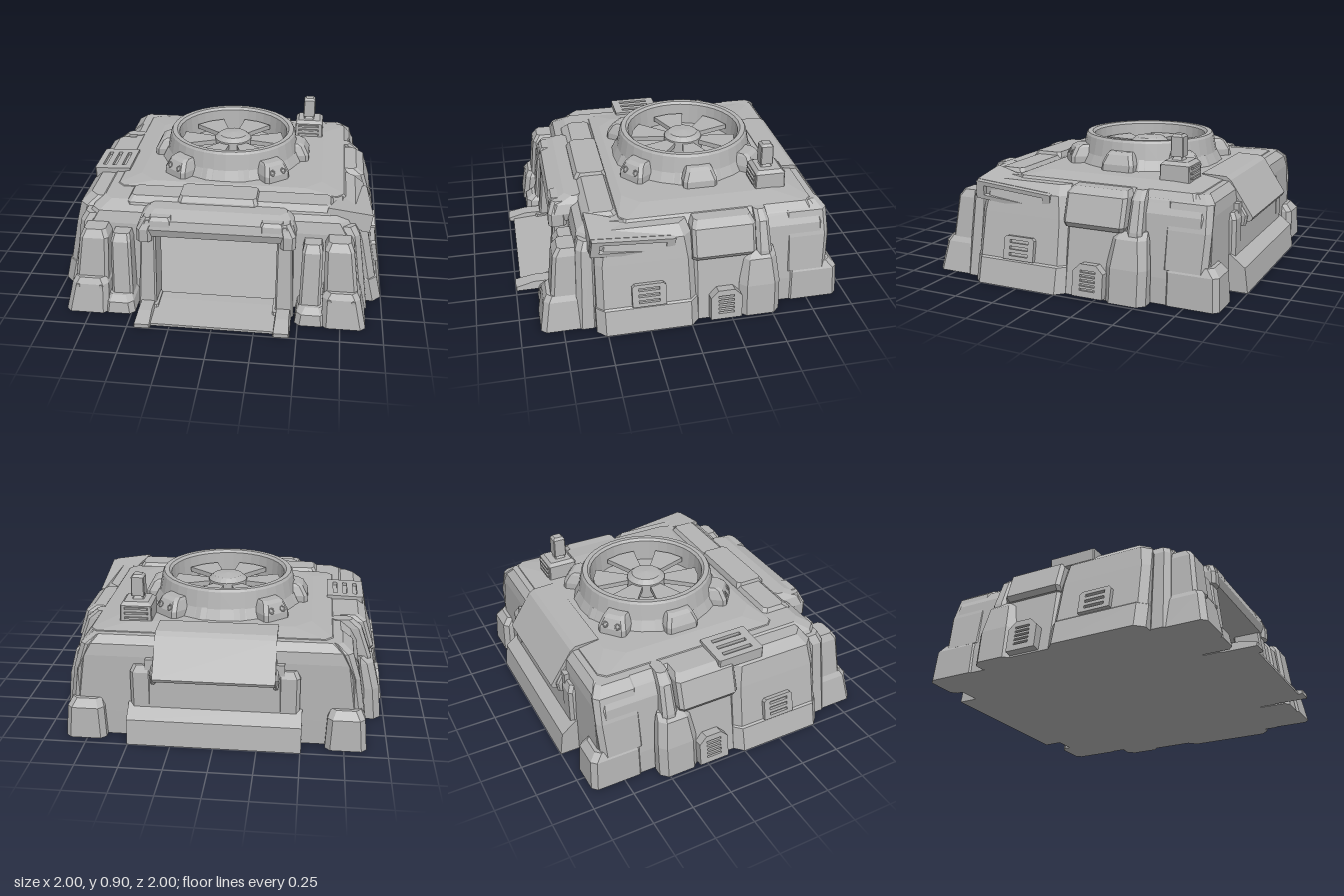
import * as THREE from 'three';

export function createModel() {
  const model = new THREE.Group();
  model.name = 'bunker';
  // Double sided because the hull is an open shell seen through the gate
  const grey = new THREE.MeshStandardMaterial({ color: 0xb4b4b4, flatShading: true, side: THREE.DoubleSide });
  grey.name = 'armour grey';

  const add = (name, geo, parent = model) => {
    const m = new THREE.Mesh(geo, grey);
    m.name = name;
    parent.add(m);
    return m;
  };

  // Lofted block: rings of [y, x0, x1, z0, z1, corner chamfer], bottom to top;
  // the front face is left out below ring number openRings
  function block(name, rings, parent = model, side = 1, openRings = 0) {
    const loops = rings.map(([y, a, b, z0, z1, c = 0.02]) => {
      const [x0, x1] = side > 0 ? [a, b] : [-b, -a];
      return [[x1, z1 - c], [x1, z0 + c], [x1 - c, z0], [x0 + c, z0],
        [x0, z0 + c], [x0, z1 - c], [x0 + c, z1], [x1 - c, z1]].map(([x, z]) => [x, y, z]);
    });
    const pos = [];
    const tri = (...p) => p.forEach((v) => pos.push(...v));
    for (let r = 0; r + 1 < loops.length; r++) {
      const lo = loops[r], hi = loops[r + 1];
      for (let i = 0; i < 8; i++) {
        if (i === 6 && r < openRings) continue;
        const j = (i + 1) % 8;
        tri(lo[i], lo[j], hi[j]);
        tri(lo[i], hi[j], hi[i]);
      }
    }
    const bot = loops[0], top = loops[loops.length - 1];
    for (let i = 1; i < 7; i++) {
      tri(top[0], top[i], top[i + 1]);
      tri(bot[0], bot[i + 1], bot[i]);
    }
    const g = new THREE.BufferGeometry();
    g.setAttribute('position', new THREE.Float32BufferAttribute(pos, 3));
    g.computeVertexNormals();
    return add(name, g, parent);
  }
  const pair = (name, rings) => [1, -1].forEach((s) => block(name, rings, model, s));
  const shapeOf = (pts) => new THREE.Shape(pts.map((p) => new THREE.Vector2(...p)));
  const extrude = (shape, depth) => new THREE.ExtrudeGeometry(shape, { depth, bevelEnabled: false });

  // Profile of [z, y] points extruded across x
  const prism = (name, pts, x0, x1) =>
    add(name, extrude(shapeOf(pts), x1 - x0).rotateY(-Math.PI / 2).translate(x1, 0, 0));

  // Slotted plate facing +z: chamfered outline, horizontal slots, closed back
  function grille(name, w, h, slots, depth, chamfer = 0.015, slotH = 0.018, fill = 0.62) {
    const grp = new THREE.Group();
    grp.name = name;
    const a = w / 2, b = h / 2, c = chamfer;
    const outline = [[-a, -b], [a, -b], [a, b - c], [a - c, b], [-a + c, b], [-a, b - c]];
    const front = shapeOf(outline);
    for (let i = 0; i < slots; i++) {
      const y = (i / (slots - 1) - 0.5) * h * 0.55, hw = w * fill / 2, hh = slotH / 2;
      front.holes.push(shapeOf([[-hw, y - hh], [-hw, y + hh], [hw, y + hh], [hw, y - hh]]));
    }
    add('slotted face', extrude(front, 0.02), grp);
    add('backing', extrude(shapeOf(outline), depth).translate(0, 0, -depth), grp);
    model.add(grp);
    return grp;
  }

  // Hollow hull with an open front, closed beside the gate, and roof
  block('hull', [
    [0, -0.87, 0.87, -0.88, 0.68, 0.05], [0.15, -0.86, 0.86, -0.88, 0.675, 0.05],
    [0.5, -0.81, 0.81, -0.87, 0.65, 0.05], [0.57, -0.77, 0.77, -0.86, 0.63, 0.05],
    [0.615, -0.71, 0.73, -0.82, 0.55, 0.05]], model, 1, 2);
  pair('frontWall', [[0, 0.4, 0.83, 0.58, 0.68, 0.01], [0.5, 0.4, 0.77, 0.55, 0.65, 0.01]]);
  block('roofPlate', [[0.58, -0.7, 0.77, -0.8, 0.4, 0.04], [0.62, -0.66, 0.74, -0.78, 0.38, 0.04],
    [0.64, -0.54, 0.6, -0.66, 0.33, 0.1]]);
  block('frontRoofStep', [[0.5, -0.57, 0.69, 0.36, 0.62], [0.61, -0.56, 0.68, 0.38, 0.58], [0.64, -0.54, 0.66, 0.4, 0.54]]);
  block('frontRoofPanel', [[0.5, -0.25, 0.23, 0.38, 0.6], [0.63, -0.25, 0.23, 0.38, 0.58], [0.66, -0.24, 0.22, 0.39, 0.56]]);

  // Gateway: lintel, jambs and ramp
  block('gateLintel', [[0.48, -0.46, 0.46, 0.52, 0.75, 0.03], [0.53, -0.47, 0.47, 0.52, 0.765, 0.03],
    [0.585, -0.45, 0.45, 0.53, 0.75, 0.04], [0.62, -0.41, 0.41, 0.55, 0.66, 0.04]]);
  pair('gateJamb', [[0, 0.36, 0.47, 0.6, 0.79, 0.01], [0.49, 0.36, 0.45, 0.56, 0.74, 0.01]]);
  pair('jambFoot', [[0, 0.345, 0.44, 0.65, 0.83, 0.01], [0.04, 0.345, 0.44, 0.65, 0.81, 0.01]]);
  pair('gateShoulder', [[0.45, 0.38, 0.47, 0.66, 0.77], [0.53, 0.38, 0.47, 0.66, 0.77], [0.6, 0.36, 0.43, 0.66, 0.74]]);
  pair('lintelLamp', [[0.55, 0.26, 0.4, 0.68, 0.76, 0.012], [0.585, 0.26, 0.4, 0.68, 0.755, 0.012], [0.605, 0.27, 0.39, 0.69, 0.74, 0.012]]);
  prism('ramp', [[0.65, 0], [0.97, 0], [0.97, 0.015], [0.72, 0.03], [0.65, 0.03]], -0.37, 0.37);
  pair('rampRail', [[0, 0.36, 0.46, 0.7, 1, 0.005], [0.025, 0.365, 0.455, 0.7, 1, 0.005], [0.05, 0.37, 0.45, 0.7, 0.89, 0.005]]);

  // Front buttresses
  pair('frontOuterFoot', [[0, 0.64, 0.9, 0.62, 0.88, 0.03], [0.18, 0.64, 0.86, 0.62, 0.85, 0.03], [0.215, 0.66, 0.84, 0.62, 0.83, 0.03]]);
  pair('frontOuterColumn', [[0, 0.65, 0.87, 0.62, 0.83, 0.02], [0.46, 0.64, 0.81, 0.6, 0.78, 0.02], [0.505, 0.66, 0.79, 0.6, 0.75, 0.02]]);
  pair('frontInnerFoot', [[0, 0.48, 0.67, 0.62, 0.87, 0.03], [0.07, 0.49, 0.66, 0.62, 0.86, 0.03], [0.1, 0.51, 0.65, 0.62, 0.82, 0.03]]);
  pair('frontInnerColumn', [[0, 0.5, 0.63, 0.6, 0.81, 0.015], [0.43, 0.51, 0.63, 0.58, 0.76, 0.015], [0.475, 0.52, 0.62, 0.57, 0.73, 0.015]]);
  pair('cornerStrip', [[0, 0.78, 0.91, 0.54, 0.67, 0.03], [0.5, 0.74, 0.84, 0.53, 0.65, 0.03], [0.55, 0.7, 0.81, 0.5, 0.63, 0.03]]);
  for (const s of [1, -1]) for (const x of [0.68, 0.82]) {
    const bolt = add('footBolt', new THREE.CylinderGeometry(0.012, 0.012, 0.02, 8).rotateX(Math.PI / 2));
    bolt.position.set(s * x, 0.17, 0.848);
  }

  // Side armour
  pair('frontSideSkirt', [[0, 0.84, 1, -0.05, 0.56, 0.05], [0.15, 0.84, 0.965, -0.05, 0.56, 0.05], [0.17, 0.84, 0.94, -0.04, 0.55, 0.05]]);
  pair('frontSideSlab', [[0.1, 0.84, 0.965, -0.04, 0.555, 0.04], [0.42, 0.8, 0.9, -0.03, 0.55, 0.04],
    [0.55, 0.72, 0.87, -0.02, 0.54, 0.05], [0.605, 0.66, 0.81, 0, 0.5, 0.05]]);
  pair('middleSlab', [[0, 0.84, 0.95, -0.4, -0.03], [0.42, 0.8, 0.88, -0.4, -0.03]]);
  pair('upperSidePanel', [[0.39, 0.8, 0.9, -0.39, -0.02], [0.42, 0.8, 0.92, -0.4, -0.02],
    [0.58, 0.68, 0.87, -0.4, -0.02], [0.615, 0.66, 0.82, -0.38, -0.04]]);
  pair('rearSideSlab', [[0, 0.84, 0.98, -0.55, -0.3, 0.04], [0.2, 0.83, 0.96, -0.55, -0.3, 0.04],
    [0.36, 0.8, 0.92, -0.53, -0.32, 0.04], [0.4, 0.8, 0.88, -0.52, -0.34, 0.04]]);
  pair('sideRib', [[0, 0.84, 0.95, -0.51, -0.41], [0.4, 0.8, 0.9, -0.5, -0.41], [0.57, 0.68, 0.84, -0.49, -0.41], [0.62, 0.66, 0.78, -0.48, -0.41]]);
  pair('rearUpperSlab', [[0.2, 0.77, 0.86, -0.87, -0.6, 0.03], [0.42, 0.77, 0.825, -0.88, -0.6, 0.03], [0.57, 0.7, 0.78, -0.87, -0.6, 0.03], [0.615, 0.66, 0.72, -0.83, -0.6, 0.03]]);
  for (const s of [1, -1]) {
    const vent = grille('sideVent', 0.2, 0.14, 3, 0.06);
    vent.position.set(s * 0.945, 0.23, 0.25);
    vent.rotation.set(-0.18, s * Math.PI / 2, 0, 'YXZ');
    const low = grille('lowVent', 0.19, 0.19, 5, 0.1, 0.045, 0.013, 0.5);
    low.position.set(s * 0.965, 0.108, -0.21);
    low.rotation.set(-0.12, s * Math.PI / 2, 0, 'YXZ');
  }

  // Rear: corner feet, bumper, backing wall and sloped hood
  pair('rearFoot', [[0, 0.64, 0.88, -0.95, -0.62, 0.03], [0.19, 0.65, 0.865, -0.94, -0.62, 0.03], [0.235, 0.67, 0.84, -0.9, -0.64, 0.03]]);
  prism('rearBumper', [[-0.87, 0], [-0.87, 0.15], [-0.8, 0.2], [-0.8, 0.22], [-0.89, 0.22], [-0.98, 0.15], [-1, 0]], -0.505, 0.505);
  pair('rearWing', [[0.15, 0.36, 0.49, -0.91, -0.8], [0.42, 0.36, 0.49, -0.91, -0.8], [0.46, 0.36, 0.47, -0.89, -0.8]]);
  prism('rearWall', [[-0.8, 0.2], [-0.8, 0.5], [-0.9, 0.5], [-0.91, 0.2]], -0.4, 0.4);
  prism('rearHood', [[-0.65, 0.56], [-0.65, 0.645], [-0.8, 0.64], [-0.83, 0.62], [-0.97, 0.41], [-0.96, 0.39], [-0.89, 0.36], [-0.82, 0.5]], -0.35, 0.35);
  pair('hoodCheek', [[0.36, 0.34, 0.365, -0.93, -0.84, 0.01], [0.42, 0.34, 0.37, -0.94, -0.8, 0.01], [0.62, 0.3, 0.34, -0.81, -0.67, 0.01]]);

  // Turret with sunken fan
  const turret = new THREE.Group();
  turret.name = 'turret';
  turret.position.set(0, 0, -0.16);
  model.add(turret);
  add('turretSkirt', new THREE.CylinderGeometry(0.435, 0.48, 0.09, 12, 1, true).rotateY(Math.PI / 12), turret).position.y = 0.66;
  const ring = [[0.46, 0.64], [0.43, 0.7], [0.41, 0.8], [0.4, 0.815], [0.37, 0.815], [0.355, 0.8], [0.345, 0.665], [0, 0.665]];
  const lathe = (name, pts, n) => add(name, new THREE.LatheGeometry(pts.map((p) => new THREE.Vector2(...p)), n), turret);
  lathe('turretRing', ring, 36);
  lathe('fanHub', [[0.125, 0.66], [0.12, 0.75], [0.09, 0.775], [0, 0.785]], 20);
  const blade = shapeOf([[0.11, -0.035], [0.32, -0.1], [0.335, 0], [0.32, 0.1], [0.11, 0.035]]);
  for (let i = 0; i < 6; i++) {
    const b = add('fanBlade', extrude(blade, 0.03).rotateX(-Math.PI / 2), turret);
    b.position.y = 0.71;
    b.rotation.y = i * Math.PI / 3 + 0.09;
  }

  // Six lugs around the turret, the diagonal ones with twin ports
  [0, 50, 130, 180, 231, 309].forEach((deg) => {
    const lug = new THREE.Group();
    lug.name = 'turretLug';
    lug.rotation.y = deg * Math.PI / 180 + Math.PI / 2;
    turret.add(lug);
    const ports = deg % 180 !== 0;
    const w = ports ? 0.09 : 0.105, r = ports ? 0.535 : 0.51;
    block('lugBody', [[0.6, -w, w, 0.38, r], [0.68, -w, w, 0.38, r - 0.005], [0.735, -w * 0.8, w * 0.8, 0.38, r - 0.035], [0.75, -w * 0.7, w * 0.7, 0.38, r - 0.06]], lug);
    if (ports) for (const x of [-0.04, 0.04]) {
      const p = add('port', new THREE.TorusGeometry(0.015, 0.005, 6, 12), lug);
      p.position.set(x, 0.7, r - 0.015);
      p.rotation.x = -0.5;
    }
  });

  // Sensor box and antenna
  block('sensorBox', [[0.58, 0.395, 0.59, -0.665, -0.475, 0.005], [0.73, 0.4, 0.585, -0.66, -0.48, 0.005], [0.75, 0.42, 0.565, -0.64, -0.5, 0.005]]);
  for (const y of [0.65, 0.68, 0.71]) block('sensorSlat', [[y, 0.42, 0.56, -0.672, -0.468, 0.005], [y + 0.012, 0.42, 0.56, -0.672, -0.468, 0.005]]);
  block('antennaNeck', [[0.74, 0.45, 0.53, -0.6, -0.52, 0.005], [0.78, 0.47, 0.51, -0.58, -0.54, 0.005]]);
  block('antennaHead', [[0.77, 0.45, 0.53, -0.6, -0.52, 0.005], [0.885, 0.452, 0.528, -0.598, -0.522, 0.005], [0.9, 0.465, 0.515, -0.585, -0.535, 0.005]]);

  // Flat roof vent on the right shoulder, slots running front to back
  const roofVent = grille('roofVent', 0.3, 0.23, 3, 0.05, 0.008, 0.025, 0.65);
  roofVent.position.set(-0.745, 0.617, 0.03);
  roofVent.rotation.set(-Math.PI / 2, -0.03, Math.PI / 2);

  // Tilted wedge lamp housing on the left shoulder
  const lamp = new THREE.Group();
  lamp.name = 'lampHousing';
  lamp.position.set(0.785, 0.545, 0.33);
  lamp.rotation.set(-0.1, 0.05, -0.14);
  model.add(lamp);
  const wedge = shapeOf([[-0.16, 0.25], [0.08, 0.25], [0.08, -0.25], [0.02, -0.25]]);
  add('lampBody', extrude(wedge, 0.105).rotateX(Math.PI / 2).translate(0, 0.05, 0), lamp);
  for (const y of [-0.05, 0.035]) add('lampFrameBar', new THREE.BoxGeometry(0.05, 0.025, 0.49), lamp).position.set(0.085, y, 0);
  for (const z of [-0.22, 0.22]) add('lampFrameEnd', new THREE.BoxGeometry(0.05, 0.1, 0.05), lamp).position.set(0.085, -0.007, z);

  return model;
}
